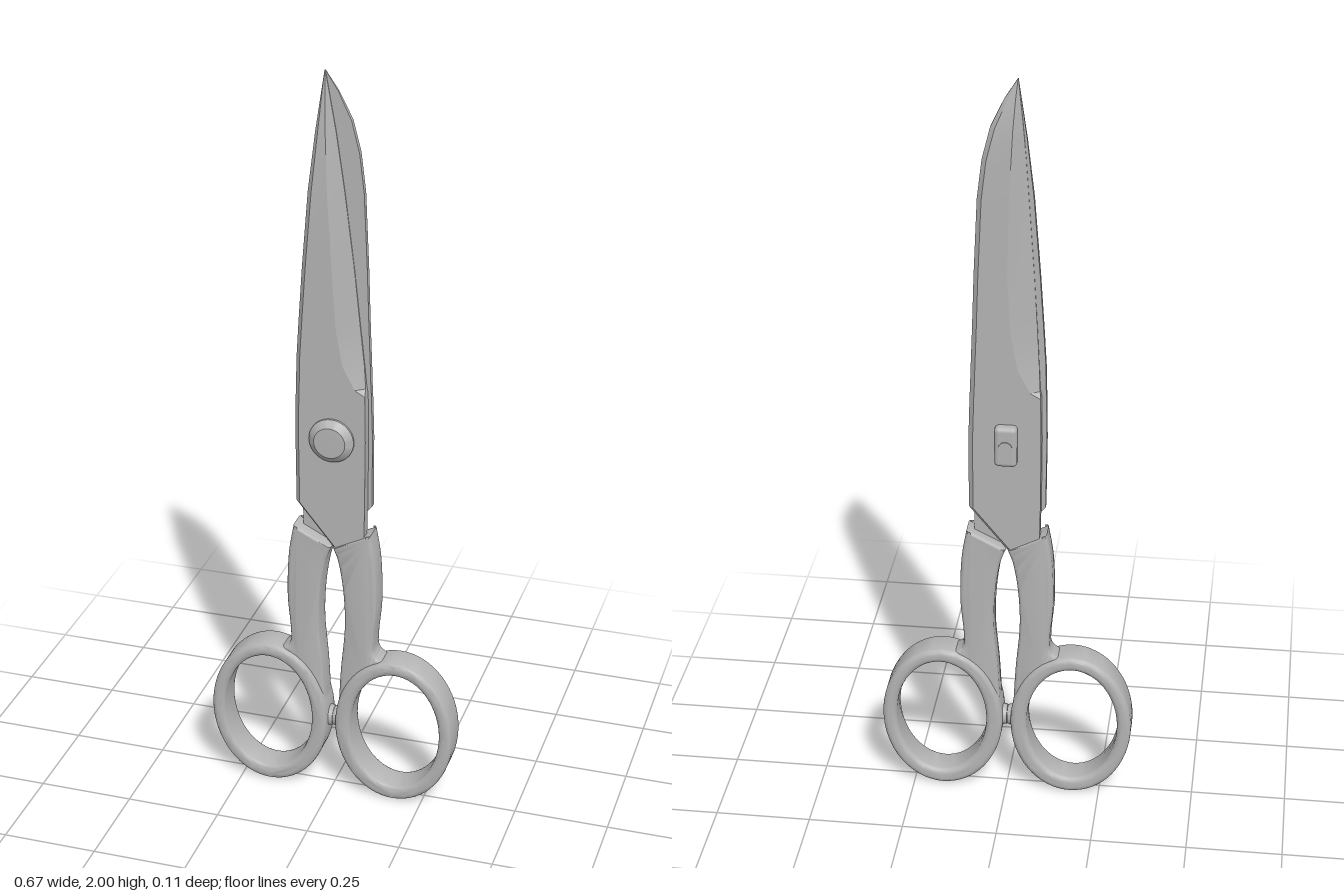
import * as THREE from 'three';
import { toCreasedNormals } from 'three/addons/utils/BufferGeometryUtils.js';
import { RoundedBoxGeometry } from 'three/addons/geometries/RoundedBoxGeometry.js';

const steel = new THREE.MeshStandardMaterial({ color: 0xb4b4b4 });
steel.name = 'steel';

function part(name, geometry, parent) {
  const mesh = new THREE.Mesh(geometry, steel);
  mesh.name = name;
  parent.add(mesh);
  return mesh;
}

// Blade lofted through rows of [y, spine x, bevel line x, edge x, thickness, edge thickness].
// side = -1 turns the blade half a revolution about y.
function bladeGeometry(rows, side) {
  const n = 6, pos = [], idx = [];
  for (const [y, sx, bx, ex, t, te] of rows) {
    const c = Math.min(0.012, (bx - sx) * 0.3);
    const loop = [[sx, 0], [sx, t * 0.6], [sx + c, t], [bx, t], [ex, te], [ex, 0]];
    for (const [x, z] of loop) pos.push(x * side, y, z * side);
  }
  for (let r = 0; r < rows.length - 1; r++) {
    for (let i = 0; i < n; i++) {
      const a = r * n + i, b = r * n + (i + 1) % n;
      idx.push(a, b, b + n, a, b + n, a + n);
    }
  }
  const top = (rows.length - 1) * n;
  for (let i = 1; i < n - 1; i++) idx.push(0, i + 1, i, top, top + i, top + i + 1);
  const g = new THREE.BufferGeometry();
  g.setAttribute('position', new THREE.Float32BufferAttribute(pos, 3));
  g.setIndex(idx);
  return toCreasedNormals(g, 0.28);
}

// Rounded extrusion between two z values, keeping the drawn outline
function slab(shape, z0, z1, bevel) {
  const g = new THREE.ExtrudeGeometry(shape, {
    depth: z1 - z0 - 2 * bevel, bevelEnabled: true, bevelThickness: bevel,
    bevelSize: bevel, bevelOffset: -bevel, bevelSegments: 4, curveSegments: 32,
  });
  g.translate(0, 0, z0 + bevel);
  return toCreasedNormals(g, 0.7);
}

function handle(side) {
  const group = new THREE.Group();
  group.name = side > 0 ? 'leftHandle' : 'rightHandle';
  const v = (x, y) => new THREE.Vector2(x * side, y);

  // Oval finger ring
  const ring = new THREE.Shape();
  ring.absellipse(0.172 * side, 0.215, 0.161, 0.21, 0, Math.PI * 2);
  const hole = new THREE.Path();
  hole.absellipse(0.175 * side, 0.217, 0.121, 0.17, 0, Math.PI * 2);
  ring.holes.push(hole);
  part('fingerRing', slab(ring, -0.041, 0.047, 0.014), group);

  // Curved shank that grips the blade
  const shank = new THREE.Shape();
  shank.moveTo(0.104 * side, 0.788);
  shank.splineThru([v(0.118, 0.7), v(0.122, 0.58), v(0.114, 0.48), v(0.117, 0.435), v(0.15, 0.412)]);
  shank.lineTo(0.1 * side, 0.365);
  shank.lineTo(0.052 * side, 0.28);
  shank.lineTo(0.018 * side, 0.27);
  shank.splineThru([v(0.024, 0.38), v(0.034, 0.5), v(0.031, 0.6), v(0.018, 0.69), v(0.002, 0.737)]);
  part('shank', slab(shank, -0.032, 0.036, 0.012), group);

  // Stop bump where the rings meet
  const bump = new THREE.CylinderGeometry(0.026, 0.032, 0.026, 20);
  bump.rotateZ(side * Math.PI / 2);
  bump.translate(0.0135 * side, 0.215, 0.003);
  part('stopBump', toCreasedNormals(bump, 0.7), group);
  return group;
}

export function createModel() {
  const model = new THREE.Group();
  model.name = 'scissors';

  const frontRows = [
    [0.735, 0, 0.085, 0.085, 0.03, 0.03],
    [0.855, -0.098, 0.087, 0.087, 0.03, 0.03],
    [1.05, -0.1, 0.088, 0.088, 0.03, 0.03],
    [1.175, -0.098, 0.086, 0.086, 0.03, 0.03],
    [1.19, -0.097, 0.06, 0.083, 0.03, 0.012],
    [1.25, -0.096, 0.028, 0.077, 0.03, 0.005],
    [1.35, -0.09, 0.01, 0.066, 0.03, 0.004],
    [1.5, -0.08, 0, 0.05, 0.03, 0.003],
    [1.7, -0.064, -0.012, 0.025, 0.029, 0.003],
    [1.85, -0.047, -0.02, 0.003, 0.017, 0.003],
    [2, -0.026, -0.025, -0.024, 0.003, 0.002],
  ];
  // Back blade, written in the front blade's turned frame
  const backRows = [
    [0.735, 0, 0.085, 0.085, 0.027, 0.027],
    [0.855, -0.098, 0.087, 0.087, 0.027, 0.027],
    [1.05, -0.098, 0.088, 0.088, 0.027, 0.027],
    [1.175, -0.094, 0.086, 0.086, 0.027, 0.027],
    [1.19, -0.093, 0.06, 0.083, 0.027, 0.012],
    [1.25, -0.091, 0.028, 0.08, 0.027, 0.005],
    [1.35, -0.087, 0.01, 0.075, 0.027, 0.004],
    [1.5, -0.082, 0.002, 0.066, 0.027, 0.003],
    [1.7, -0.073, 0.006, 0.052, 0.027, 0.003],
    [1.8, -0.061, 0.011, 0.045, 0.026, 0.003],
    [1.88, -0.041, 0.015, 0.038, 0.023, 0.003],
    [1.95, -0.008, 0.02, 0.031, 0.012, 0.003],
    [2, 0.024, 0.025, 0.026, 0.003, 0.002],
  ];
  part('frontBlade', bladeGeometry(frontRows, 1), model);
  part('backBlade', bladeGeometry(backRows, -1), model);

  model.add(handle(1), handle(-1));

  // Pivot screw head with a bevelled rim
  const profile = [[0, 0.02], [0.059, 0.02], [0.059, 0.036], [0.055, 0.041], [0.041, 0.052], [0, 0.053]];
  const head = new THREE.LatheGeometry(profile.map(([x, y]) => new THREE.Vector2(x, y)), 40);
  head.rotateX(Math.PI / 2);
  part('screwHead', toCreasedNormals(head, 0.5), model).position.y = 1.045;

  // Nut and screw end at the back
  part('nut', new RoundedBoxGeometry(0.058, 0.11, 0.034, 4, 0.012), model).position.set(0, 1.045, -0.036);
  const end = new THREE.CylinderGeometry(0.018, 0.018, 0.01, 24);
  end.rotateX(Math.PI / 2);
  part('screwEnd', end, model).position.set(0, 1.045, -0.051);

  return model;
}
